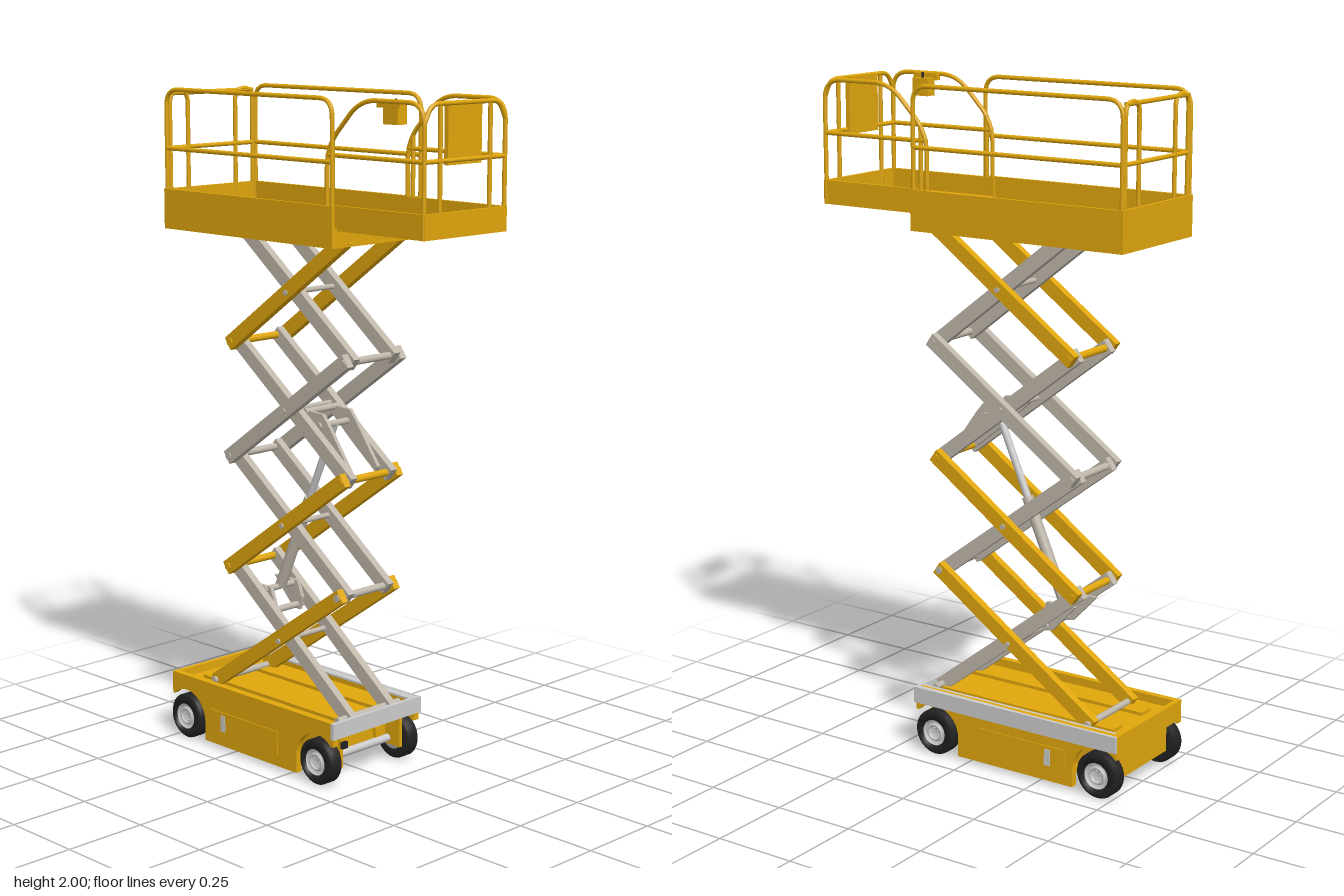
import * as THREE from 'three';

const mat = (color) => new THREE.MeshStandardMaterial({ color, side: THREE.DoubleSide });
const YELLOW = mat(0xe0a60c), STEEL = mat(0xbfb7aa), GREY = mat(0xcccccc), BLACK = mat(0x222222);
const V = (x, y, z) => new THREE.Vector3(x, y, z);

export function createModel() {
  const root = new THREE.Group();
  const add = (name, geo, material, parent = root) => {
    const m = new THREE.Mesh(geo, material);
    m.name = name;
    parent.add(m);
    return m;
  };
  const group = (name) => {
    const g = new THREE.Group();
    g.name = name;
    root.add(g);
    return g;
  };
  // Box given by its min and max corners
  const box = (name, x0, x1, y0, y1, z0, z1, material, parent) => {
    const m = add(name, new THREE.BoxGeometry(x1 - x0, y1 - y0, z1 - z0), material, parent);
    m.position.set((x0 + x1) / 2, (y0 + y1) / 2, (z0 + z1) / 2);
    return m;
  };
  // Round bar between two points
  const rod = (name, a, b, r, material, parent) => {
    const m = add(name, new THREE.CylinderGeometry(r, r, a.distanceTo(b), 14), material, parent);
    m.position.copy(a).lerp(b, 0.5);
    m.quaternion.setFromUnitVectors(V(0, 1, 0), b.clone().sub(a).normalize());
    return m;
  };
  // Bent tube through points with rounded corners
  const rail = (name, pts, bend, parent) => {
    const path = new THREE.CurvePath();
    let from = pts[0];
    for (let i = 1; i < pts.length - 1; i++) {
      const p = pts[i];
      const toward = (q) => p.clone().add(q.clone().sub(p).setLength(Math.min(bend, p.distanceTo(q) * 0.45)));
      const a = toward(pts[i - 1]), b = toward(pts[i + 1]);
      path.add(new THREE.LineCurve3(from, a));
      path.add(new THREE.QuadraticBezierCurve3(a, p, b));
      from = b;
    }
    path.add(new THREE.LineCurve3(from, pts[pts.length - 1]));
    return add(name, new THREE.TubeGeometry(path, 90, 0.0065, 8), YELLOW, parent);
  };

  // ---- Chassis ----
  const chassis = group('chassis');
  const wheelX = [-0.455, 0.12], wheelY = 0.069;
  const side = new THREE.Shape();
  side.moveTo(-0.52, 0.2);
  side.lineTo(-0.52, 0.13);
  side.absarc(wheelX[0], wheelY, 0.085, Math.PI * 0.75, 0, true);
  side.lineTo(-0.37, 0.012);
  side.lineTo(0.035, 0.012);
  side.absarc(wheelX[1], wheelY, 0.085, Math.PI, Math.PI * 0.25, true);
  side.lineTo(0.19, 0.13);
  side.lineTo(0.19, 0.2);
  for (const z of [0.16, -0.18]) {
    add('sidePanel', new THREE.ExtrudeGeometry(side, { depth: 0.02, bevelEnabled: false, curveSegments: 20 }), YELLOW, chassis).position.z = z;
  }
  box('deck', -0.51, 0.18, 0.155, 0.175, -0.17, 0.17, YELLOW, chassis);
  box('bodyTray', -0.37, 0.035, 0.05, 0.065, -0.165, 0.165, YELLOW, chassis);
  for (const z of [-0.13, 0.12]) box('innerWall', -0.5, 0.17, 0.05, 0.16, z, z + 0.01, YELLOW, chassis);
  box('rearBulkhead', -0.5, -0.49, 0.05, 0.16, -0.125, 0.125, YELLOW, chassis);
  box('frontBulkhead', 0.1, 0.11, 0.05, 0.16, -0.125, 0.125, YELLOW, chassis);
  box('rearEdge', -0.52, -0.505, 0.14, 0.2, -0.18, 0.18, YELLOW, chassis);
  box('endChannel', 0.18, 0.193, 0.152, 0.201, -0.185, 0.182, GREY, chassis);
  box('sideChannel', -0.52, 0.193, 0.152, 0.201, -0.188, -0.178, GREY, chassis);
  box('channelLip', -0.5, 0.18, 0.194, 0.2, -0.18, -0.15, GREY, chassis);
  for (const z of [-0.08, 0.08]) box('rollerTrack', -0.46, 0.16, 0.175, 0.185, z - 0.025, z + 0.025, YELLOW, chassis);
  box('towLug', 0.185, 0.195, 0.12, 0.15, -0.01, 0.01, YELLOW, chassis);
  box('endButton', 0.19, 0.2, 0.12, 0.14, 0.13, 0.15, BLACK, chassis);
  // Cabinet door outlined on the side, with its latch
  const door = [[-0.345, 0.12], [-0.045, 0.12], [-0.045, 0.05], [-0.33, 0.05], [-0.345, 0.065], [-0.345, 0.12]];
  for (const s of [1, -1]) {
    add('cabinetDoor', new THREE.ExtrudeGeometry(new THREE.Shape(door.map(([x, y]) => new THREE.Vector2(x, y))),
      { depth: 0.004, bevelEnabled: false }), YELLOW, chassis).position.z = s > 0 ? 0.179 : -0.183;
    box('doorLatch', -0.295, -0.275, 0.06, 0.11, s * 0.183 - 0.002, s * 0.183 + 0.002, GREY, chassis);
  }

  // ---- Wheels ----
  const tyre = [[0.04, -0.024], [0.062, -0.024], [0.069, -0.017], [0.069, 0.017], [0.062, 0.024], [0.04, 0.024], [0.04, -0.024]];
  const rim = [[0, 0.014], [0.018, 0.014], [0.02, 0.022], [0.026, 0.022], [0.03, 0.012], [0.038, 0.023], [0.042, 0.023], [0.042, -0.022], [0, -0.022]];
  const lathe = (p) => new THREE.LatheGeometry(p.map(([r, h]) => new THREE.Vector2(r, h)), 32);
  for (const x of wheelX) {
    for (const s of [1, -1]) {
      const wheel = group('wheel');
      wheel.position.set(x, wheelY, s * 0.162);
      wheel.rotation.x = s * Math.PI / 2;
      add('tyre', lathe(tyre), BLACK, wheel);
      add('rim', lathe(rim), GREY, wheel);
      for (let i = 0; i < 5; i++) {
        const a = i * Math.PI * 0.4;
        const bolt = add('wheelBolt', new THREE.CylinderGeometry(0.003, 0.003, 0.006, 6), GREY, wheel);
        bolt.position.set(Math.cos(a) * 0.013, 0.016, Math.sin(a) * 0.013);
      }
    }
    rod('axle', V(x, wheelY, -0.15), V(x, wheelY, 0.15), 0.012, GREY, chassis);
  }

  // ---- Scissor stack: left and right joints for each level ----
  const scissor = group('scissorStack');
  const left = [[-0.385, 0.19], [-0.325, 0.563], [-0.317, 0.908], [-0.307, 1.256], [-0.29, 1.605]];
  const right = [[0.155, 0.19], [0.145, 0.558], [0.155, 0.903], [0.165, 1.25], [0.17, 1.6]];
  const arm = (name, a, b, z, material) => {
    const dx = b[0] - a[0], dy = b[1] - a[1];
    const m = add(name, new THREE.BoxGeometry(Math.hypot(dx, dy) + 0.025, 0.042, 0.024), material, scissor);
    m.position.set((a[0] + b[0]) / 2, (a[1] + b[1]) / 2, z);
    m.rotation.z = Math.atan2(dy, dx);
  };
  const crossBar = (name, [x, y], r, half, material) => rod(name, V(x, y, -half), V(x, y, half), r, material, scissor);
  for (let i = 0; i < 4; i++) {
    const outer = i === 2 ? STEEL : YELLOW;
    for (const s of [1, -1]) {
      arm('outerArm', left[i], right[i + 1], s * 0.108, outer);
      arm('innerArm', right[i], left[i + 1], s * 0.082, STEEL);
    }
    const mid = [0, 1].map((k) => (left[i][k] + right[i + 1][k] + right[i][k] + left[i + 1][k]) / 4);
    crossBar('centrePin', mid, 0.008, 0.125, STEEL);
    if (i > 0) {
      crossBar('leftPin', left[i], 0.011, 0.124, i === 2 ? STEEL : YELLOW);
      crossBar('rightPin', right[i], 0.011, 0.124, i === 2 ? YELLOW : STEEL);
    }
  }
  for (const p of [left[0], right[0], left[4], right[4]]) crossBar('endShaft', p, 0.01, 0.13, STEEL);
  box('upperSlideBeam', -0.31, -0.27, 1.592, 1.63, -0.16, 0.16, STEEL, scissor);

  // ---- Lift cylinder with its brackets ----
  const lift = group('liftCylinder');
  const low = V(-0.22, 0.5, 0), high = V(0.015, 1.04, 0);
  rod('cylinderBarrel', low, low.clone().lerp(high, 0.55), 0.017, STEEL, lift);
  rod('cylinderRod', low, high, 0.011, GREY, lift);
  const bracket = (name, pts) => {
    for (const z of [-0.062, 0.05]) {
      add(name, new THREE.ExtrudeGeometry(new THREE.Shape(pts.map(([x, y]) => new THREE.Vector2(x, y))),
        { depth: 0.012, bevelEnabled: false }), STEEL, lift).position.z = z;
    }
  };
  bracket('lowerBracket', [[-0.3, 0.51], [-0.2, 0.51], [-0.18, 0.46], [-0.19, 0.42], [-0.22, 0.425]]);
  bracket('upperBracket', [[-0.08, 1.08], [0.025, 1.075], [0.05, 1.045], [0.14, 0.92], [0.13, 0.905], [0.03, 0.985]]);
  for (const [x, y] of [[-0.22, 0.5], [-0.2, 0.435], [0.015, 1.04], [-0.04, 1.075]]) {
    rod('bracketPin', V(x, y, -0.07), V(x, y, 0.07), 0.01, STEEL, lift);
  }

  // ---- Platform trays ----
  const platform = group('platform');
  const tray = (name, x0, x1, y0, floorY, y1, half) => {
    box(name + 'Floor', x0, x1, floorY, floorY + 0.012, -half, half, YELLOW, platform);
    for (const s of [1, -1]) box(name + 'SideBoard', x0, x1, y0, y1, s * (half - 0.005) - 0.005, s * (half - 0.005) + 0.005, YELLOW, platform);
  };
  tray('mainDeck', -0.52, 0.19, 1.582, 1.625, 1.7, 0.185);
  box('mainEndBoard', -0.52, -0.51, 1.582, 1.7, -0.185, 0.185, YELLOW, platform);
  box('mainFrontSkirt', 0.18, 0.19, 1.582, 1.632, -0.185, 0.185, YELLOW, platform);
  tray('extensionDeck', 0.14, 0.52, 1.63, 1.632, 1.7, 0.166);
  box('extensionEndBoard', 0.51, 0.52, 1.63, 1.7, -0.166, 0.166, YELLOW, platform);

  // ---- Guard rails ----
  const rails = group('guardRails');
  for (const s of [1, -1]) {
    const z = s * 0.178, e = s * 0.162;
    rail('mainSideRail', [V(-0.512, 1.63, z), V(-0.512, 1.993, z), V(0.183, 1.993, z), V(0.183, 1.63, z)], 0.05, rails);
    rail('mainMidRail', [V(-0.512, 1.82, z), V(0.183, 1.82, z)], 0, rails);
    rail('extensionSideRail', [V(0.147, 1.65, e), V(0.147, 1.86, e), V(0.275, 1.993, e), V(0.513, 1.993, e), V(0.513, 1.63, e)], 0.06, rails);
    rail('extensionMidRail', [V(0.147, 1.838, e), V(0.513, 1.838, e)], 0, rails);
    rail('extensionPost', [V(0.168, 1.65, e), V(0.168, 1.88, e)], 0, rails);
    // Entry end arches beside the gate
    rail('entryArch', [V(-0.512, 1.65, s * 0.165), V(-0.512, 1.985, s * 0.165), V(-0.512, 1.985, s * 0.095), V(-0.512, 1.65, s * 0.095)], 0.035, rails);
    rail('extensionEndPost', [V(0.513, 1.65, s * 0.1), V(0.513, 1.985, s * 0.1)], 0, rails);
  }
  for (const y of [1.82, 1.98]) rail('entryGateRail', [V(-0.512, y, -0.165), V(-0.512, y, 0.165)], 0, rails);
  rail('extensionEndTopRail', [V(0.513, 1.94, -0.162), V(0.513, 1.99, -0.135), V(0.513, 1.99, 0.135), V(0.513, 1.94, 0.162)], 0.03, rails);
  rail('extensionEndMidRail', [V(0.513, 1.838, -0.162), V(0.513, 1.838, 0.162)], 0, rails);
  box('documentPanel', 0.5, 0.514, 1.825, 1.993, -0.065, 0.07, YELLOW, rails);

  // ---- Control box hung on the extension rail ----
  const control = group('controlBox');
  box('controlCase', 0.345, 0.4, 1.93, 1.982, 0.11, 0.146, YELLOW, control);
  box('controlHanger', 0.335, 0.42, 1.975, 1.995, 0.142, 0.16, YELLOW, control);
  rod('joystick', V(0.375, 1.98, 0.127), V(0.375, 1.998, 0.127), 0.004, BLACK, control);

  return root;
}
